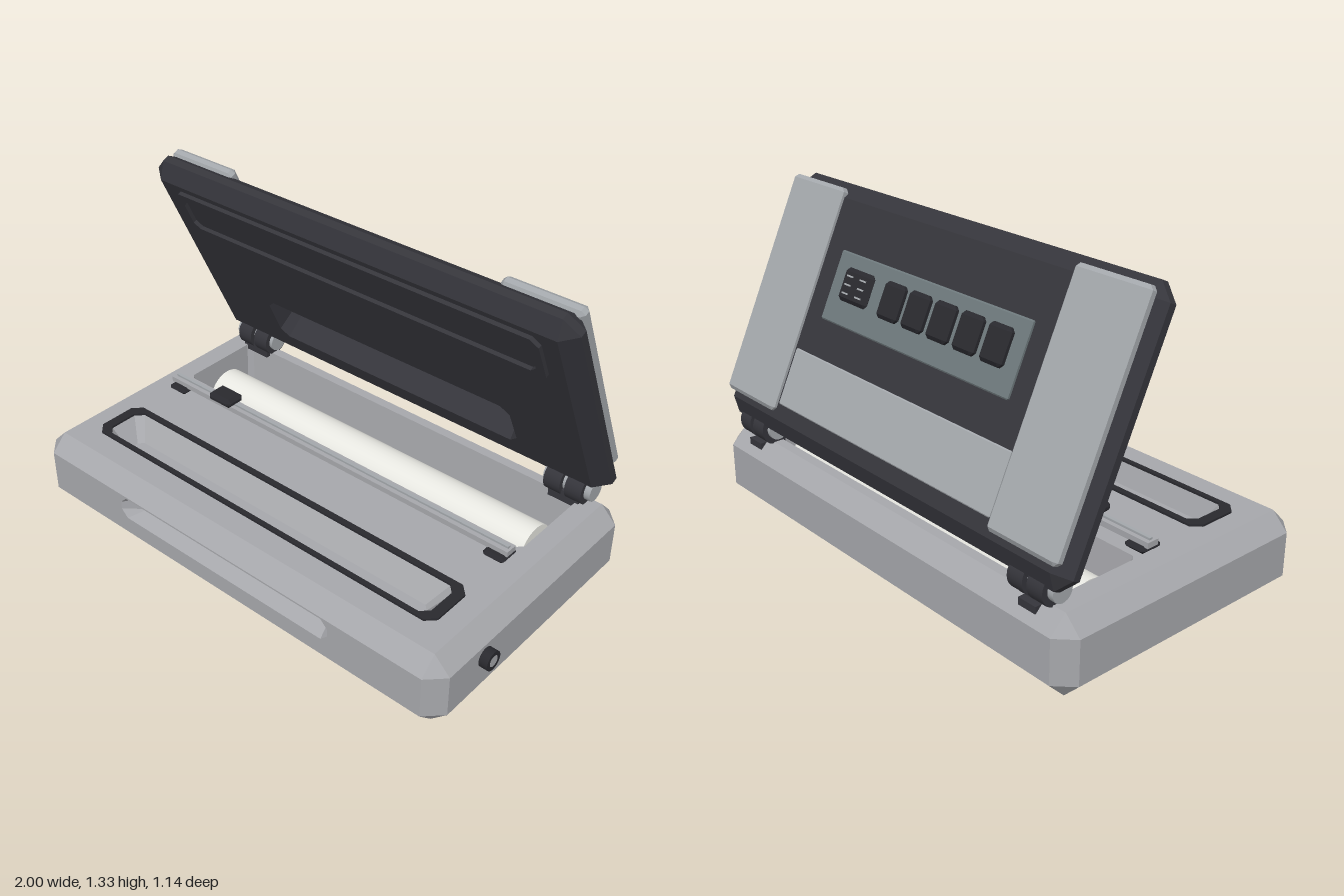
import * as THREE from 'three';

const mat = (name, color, side = THREE.FrontSide) => {
  const m = new THREE.MeshStandardMaterial({ color, side });
  m.name = name;
  return m;
};

// Rectangle with cut corners, counter-clockwise, always eight points
const oct = (x0, x1, y0, y1, c = 0) => [
  [x0 + c, y0], [x1 - c, y0], [x1, y0 + c], [x1, y1 - c],
  [x1 - c, y1], [x0 + c, y1], [x0, y1 - c], [x0, y0 + c],
];

// Flat-shaded skin through loops [outline, z]; skip(level, side) leaves a face open
function loft(loops, capStart, capEnd, skip = () => false) {
  const pos = [];
  const pts = loops.map(([o, z]) => o.map(([x, y]) => [x, y, z]));
  const tri = (a, b, c) => pos.push(...a, ...b, ...c);
  for (let l = 0; l < pts.length - 1; l++) {
    for (let i = 0; i < 8; i++) {
      if (skip(l, i)) continue;
      const j = (i + 1) % 8, A = pts[l], B = pts[l + 1];
      tri(A[i], A[j], B[j]);
      tri(A[i], B[j], B[i]);
    }
  }
  const end = pts[pts.length - 1];
  for (let i = 1; i < 7; i++) {
    if (capStart) tri(pts[0][0], pts[0][i + 1], pts[0][i]);
    if (capEnd) tri(end[0], end[i], end[i + 1]);
  }
  const g = new THREE.BufferGeometry();
  g.setAttribute('position', new THREE.Float32BufferAttribute(pos, 3));
  g.computeVertexNormals();
  return g;
}

// Box with every edge chamfered by c (cz along z)
function slab(x0, x1, y0, y1, z0, z1, c, cz = c, capStart = true, capEnd = true, skip) {
  const outer = oct(x0, x1, y0, y1, c), inner = oct(x0 + c, x1 - c, y0 + c, y1 - c);
  return loft([[inner, z0], [outer, z0 + cz], [outer, z1 - cz], [inner, z1]], capStart, capEnd, skip);
}

const pocket = (top, zTop, bottom, zBottom, floor = true) =>
  loft([[top, zTop], [bottom, zBottom]], false, floor);

function holed(outline, holes) {
  const v = (o) => o.map(([x, y]) => new THREE.Vector2(x, y));
  const s = new THREE.Shape(v(outline));
  s.holes = holes.map((h) => new THREE.Path(v(h)));
  return s;
}

const frame = (outer, inner, depth) =>
  new THREE.ExtrudeGeometry(holed(outer, [inner]), { depth, bevelEnabled: false });

export function createModel() {
  const grey = mat('bodyGrey', 0xa6a7ab);
  const dark = mat('charcoal', 0x35353b);
  const black = mat('rubberBlack', 0x29292e);
  const silver = mat('silverPanel', 0xa3a7ab);
  const slate = mat('controlSlate', 0x6d787b);
  const white = mat('rollWhite', 0xe8e8e2);

  const root = new THREE.Group();
  const add = (parent, name, geo, material, x = 0, y = 0, z = 0) => {
    const m = new THREE.Mesh(geo, material);
    m.name = name;
    m.position.set(x, y, z);
    parent.add(m);
    return m;
  };
  const rod = (r, len, seg = 24) => new THREE.CylinderGeometry(r, r, len, seg).rotateZ(Math.PI / 2);

  // Base: local z is up, local y points to the rear
  const base = new THREE.Group();
  base.name = 'base';
  base.rotation.x = -Math.PI / 2;
  root.add(base);
  add(base, 'baseShell', slab(-1, 0.965, -0.57, 0.57, 0.06, 0.36, 0.065, 0.065, true, false,
    (l, i) => l === 1 && i === 0), grey);
  const bay = oct(-0.85, 0.82, 0.1, 0.465, 0.02);
  const channel = oct(-0.815, 0.775, -0.39, -0.215, 0.03);
  add(base, 'baseTop', new THREE.ShapeGeometry(
    holed(oct(-0.935, 0.9, -0.505, 0.505), [bay, channel])), grey, 0, 0, 0.36);
  add(base, 'rollBay', pocket(bay, 0.36, oct(-0.84, 0.81, 0.12, 0.445, 0.02), 0.11), grey);
  add(base, 'vacuumChannel', pocket(channel, 0.36, oct(-0.75, 0.71, -0.365, -0.275, 0.02), 0.28), grey);
  add(base, 'channelGasket', frame(oct(-0.855, 0.815, -0.41, -0.19, 0.035), channel, 0.008), black, 0, 0, 0.36);

  // Front face with the grip recess
  const grip = oct(-0.54, 0.5, 0.195, 0.288, 0.03);
  const gripBack = oct(-0.47, 0.465, 0.225, 0.286, 0.005);
  add(root, 'frontFace', new THREE.ShapeGeometry(
    holed(oct(-0.935, 0.9, 0.125, 0.295), [grip])), grey, 0, 0, 0.57);
  add(root, 'gripRecess', pocket(grip, 0.57, gripBack, 0.52, false), grey);
  add(root, 'gripInset', pocket(gripBack, 0.52, gripBack, 0.47), dark);

  // Feet
  for (const x of [-0.76, 0.715]) {
    for (const z of [0.387, -0.38]) {
      add(root, 'foot', slab(-0.095, 0.095, -0.082, 0.082, 0, 0.07, 0.03).rotateX(-Math.PI / 2), black, x, 0, z);
    }
  }

  // Film roll
  add(root, 'filmRoll', rod(0.1, 1.58, 32), white, -0.015, 0.225, -0.27);

  // Cutter rail, its feet and slider
  add(root, 'cutterRail', new THREE.BoxGeometry(1.68, 0.022, 0.05), grey, -0.02, 0.392, -0.035);
  add(root, 'railRidge', new THREE.BoxGeometry(1.66, 0.01, 0.014), silver, -0.02, 0.406, -0.035);
  for (const x of [-0.81, 0.775]) {
    add(root, 'railFoot', slab(-0.045, 0.045, -0.048, 0.048, 0, 0.026, 0.012).rotateX(-Math.PI / 2), black, x, 0.358, -0.03);
  }
  add(root, 'cutterSlider', slab(-0.06, 0.06, -0.045, 0.045, 0, 0.04, 0.015).rotateX(-Math.PI / 2), black, -0.568, 0.402, -0.03);

  // Side knob
  add(root, 'sideKnob', rod(0.038, 0.035), black, 0.982, 0.243, 0.307);
  add(root, 'knobCap', rod(0.022, 0.004), grey, 0.998, 0.243, 0.307);

  // Hinges
  for (const [x, out] of [[-0.8, -1], [0.77, 1]]) {
    for (const dx of [-0.045, 0.045]) {
      add(root, 'hingeKnuckle', rod(0.064, 0.07), dark, x + dx, 0.415, -0.49);
    }
    add(root, 'hingePin', rod(0.042, 0.2), silver, x + out * 0.005, 0.415, -0.49);
    add(root, 'hingeMount', new THREE.BoxGeometry(0.13, 0.05, 0.07), dark, x, 0.365, -0.48);
    add(root, 'hingeClip', new THREE.BoxGeometry(0.08, 0.03, 0.03), dark, x, 0.335, -0.527);
  }

  // Lid: local y runs up the lid, local z points out of its inner face
  const lid = new THREE.Group();
  lid.name = 'lid';
  lid.position.set(0, 0.415, -0.49);
  lid.rotation.x = THREE.MathUtils.degToRad(25);
  root.add(lid);
  add(lid, 'lidShell', slab(-0.975, 0.935, 0, 0.985, -0.105, 0.02, 0.058, 0.048, true, false), dark);
  const well = oct(-0.605, 0.575, 0.135, 0.355, 0.035);
  const wellBack = oct(-0.59, 0.56, 0.18, 0.35, 0.03);
  add(lid, 'lidInnerFace', new THREE.ShapeGeometry(
    holed(oct(-0.917, 0.877, 0.058, 0.927), [well])), dark, 0, 0, 0.02);
  add(lid, 'lidWell', pocket(well, 0.02, wellBack, -0.085, false), dark);
  add(lid, 'wellBack', loft([[wellBack, -0.09], [wellBack, -0.084]], false, true), silver);
  add(lid, 'lidGasket', frame(oct(-0.85, 0.81, 0.685, 0.903, 0.03), oct(-0.815, 0.775, 0.72, 0.868, 0.025), 0.016), dark, 0, 0, 0.02);

  // Outer panels
  for (const [x0, x1] of [[-0.945, -0.628], [0.592, 0.912]]) {
    add(lid, 'sidePanel', slab(x0, x1, 0.083, 0.96, -0.13, -0.08, 0.015), silver);
  }
  add(lid, 'lowerStrip', slab(-0.62, 0.58, 0.118, 0.34, -0.113, -0.1, 0.004), silver);

  // Control panel with keys and display
  add(lid, 'controlPanel', slab(-0.535, 0.49, 0.48, 0.745, -0.118, -0.1, 0.005), slate);
  for (let i = 0; i < 5; i++) {
    const x = -0.43 + i * 0.137;
    add(lid, 'button', slab(x - 0.054, x + 0.054, 0.565, 0.7, -0.15, -0.11, 0.014), black);
  }
  add(lid, 'display', slab(0.25, 0.417, 0.57, 0.695, -0.138, -0.11, 0.014), black);
  for (const x of [0.295, 0.372]) {
    for (const y of [0.6, 0.632, 0.664]) {
      add(lid, 'displayMark', new THREE.BoxGeometry(0.035, 0.006, 0.004), silver, x, y, -0.139);
    }
  }

  return root;
}
